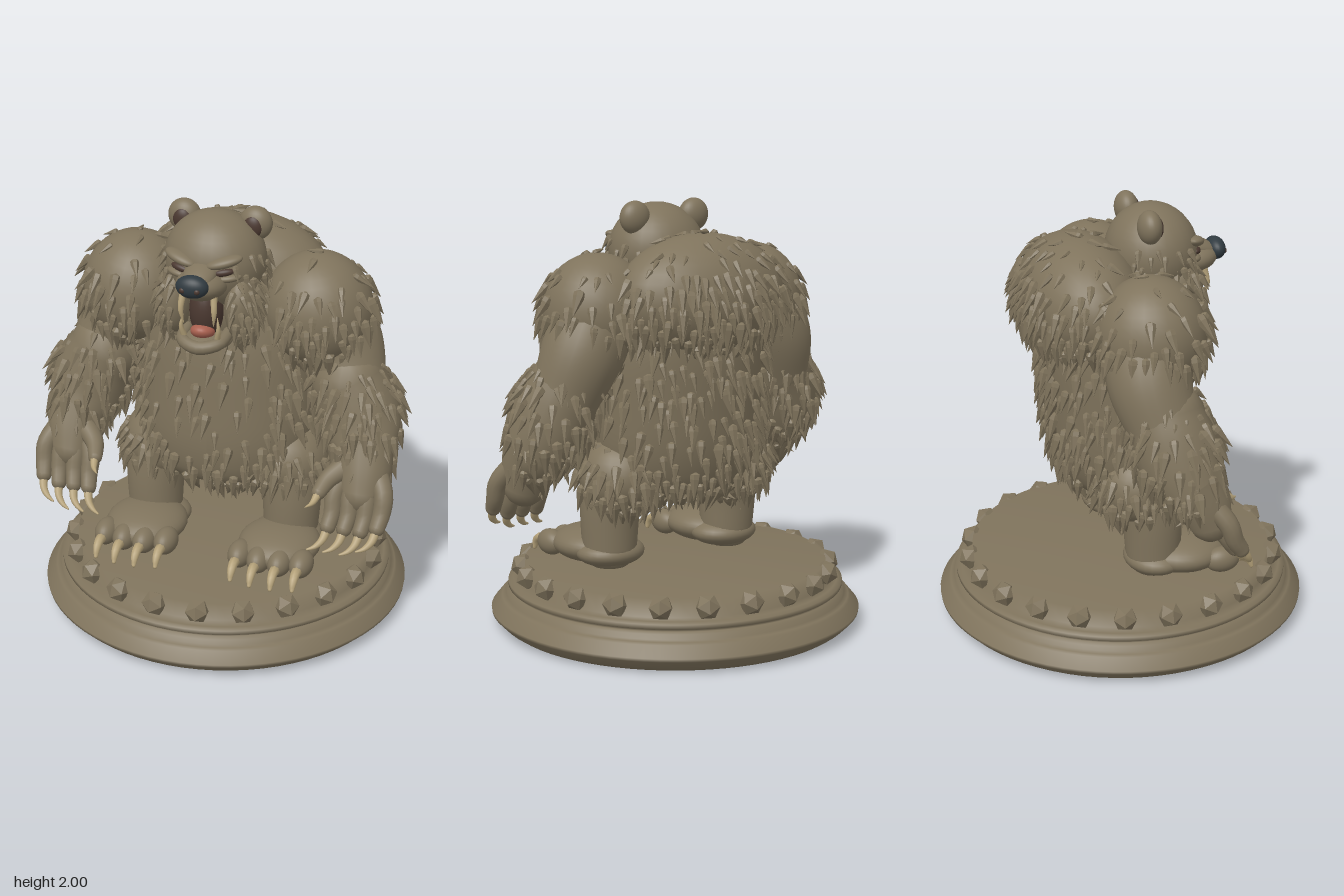
import * as THREE from 'three';
import { mergeGeometries } from 'three/addons/utils/BufferGeometryUtils.js';

const V = (x, y, z) => new THREE.Vector3(x, y, z);
const paint = (color, flatShading = false) => new THREE.MeshStandardMaterial({ color, flatShading });

export function createModel() {
  const model = new THREE.Group();
  const hide = paint(0x7f735c), stone = paint(0x7f735c), facet = paint(0x7f735c, true);
  const horn = paint(0xb5a27a), dark = paint(0x4a3830), pink = paint(0xa8604f), black = paint(0x303a40);

  let seed = 7;
  const rand = () => (seed = (seed * 16807) % 2147483647) / 2147483647;

  const add = (name, geometry, material) => {
    const mesh = new THREE.Mesh(geometry, material);
    mesh.name = name;
    model.add(mesh);
    return mesh;
  };

  // ellipsoid with its transform baked in
  const blob = (name, material, pos, radii, rot = [0, 0, 0]) => {
    const g = new THREE.SphereGeometry(1, 28, 20).scale(...radii);
    g.applyMatrix4(new THREE.Matrix4().makeRotationFromEuler(new THREE.Euler(...rot)));
    return add(name, g.translate(...pos), material);
  };

  // tapered tube through [x, y, z, radius] points with round ends
  const limb = (name, material, pts, s = 1, sides = 16, rows = 16) => {
    const curve = new THREE.CatmullRomCurve3(pts.map(p => V(p[0] * s, p[1], p[2])));
    const g = new THREE.TubeGeometry(curve, rows, 1, sides);
    const pos = g.attributes.position, v = V(0, 0, 0);
    for (let i = 0; i < pos.count; i++) {
      const t = Math.floor(i / (sides + 1)) / rows, c = curve.getPointAt(t);
      const k = Math.min(t * (pts.length - 1), pts.length - 1.0001), j = Math.floor(k);
      const r = THREE.MathUtils.lerp(pts[j][3], pts[j + 1][3], k - j);
      v.fromBufferAttribute(pos, i).sub(c).multiplyScalar(r).add(c);
      pos.setXYZ(i, v.x, v.y, v.z);
    }
    const caps = [pts[0], pts[pts.length - 1]].map(p =>
      new THREE.SphereGeometry(p[3], sides, 8).translate(p[0] * s, p[1], p[2]));
    return add(name, mergeGeometries([g, ...caps]), material);
  };

  // pointed tufts scattered evenly over a mesh, combed downwards
  const tuftShape = new THREE.LatheGeometry(
    [[0, -0.014], [0.023, 0], [0.023, 0.02], [0, 0.112]].map(p => new THREE.Vector2(...p)), 6);
  const fur = (name, mesh, count, gap, density, size = 1) => {
    const g = mesh.geometry.toNonIndexed(), pos = g.attributes.position, tris = [];
    let total = 0;
    for (let i = 0; i < pos.count; i += 3) {
      const t = new THREE.Triangle(...[0, 1, 2].map(k => V(0, 0, 0).fromBufferAttribute(pos, i + k)));
      if (t.getArea() < 1e-9) continue;
      const n = t.getNormal(V(0, 0, 0));
      total += t.getArea() * Math.max(0, density(t.getMidpoint(V(0, 0, 0)), n));
      tris.push({ t, n, total });
    }
    const roots = [], tufts = [];
    for (let tries = 0; tries < count * 5 && roots.length < count; tries++) {
      const pick = rand() * total, { t, n } = tris.find(e => e.total >= pick);
      let a = rand(), b = rand();
      if (a + b > 1) { a = 1 - a; b = 1 - b; }
      const p = t.a.clone().addScaledVector(t.b.clone().sub(t.a), a).addScaledVector(t.c.clone().sub(t.a), b);
      if (roots.some(q => q.distanceTo(p) < gap)) continue;
      roots.push(p);
      const dir = V((rand() - 0.5) * 0.4, -1, (rand() - 0.5) * 0.4);
      dir.addScaledVector(n, -dir.dot(n)).normalize();
      dir.addScaledVector(n, 0.45 * (1 - Math.max(0, n.y) * 0.8)).normalize();
      const q = new THREE.Quaternion().setFromUnitVectors(V(0, 1, 0), dir);
      const k = size * (0.75 + rand() * 0.4) * (n.y > 0.55 ? 0.75 : 1);
      tufts.push(tuftShape.clone().applyMatrix4(new THREE.Matrix4().compose(p, q, V(k, k, k))));
    }
    add(name, mergeGeometries(tufts), facet);
  };

  // round moulded pedestal
  const profile = [[0, 0], [0.81, 0], [0.84, 0.02], [0.88, 0.06], [0.882, 0.075], [0.84, 0.125], [0.83, 0.135],
    [0.81, 0.14], [0.81, 0.165], [0.785, 0.17], [0.785, 0.18], [0.8, 0.185], [0.8, 0.205], [0.775, 0.212],
    [0.725, 0.214], [0.72, 0.3], [0, 0.3]];
  add('pedestal', new THREE.LatheGeometry(profile.map(p => new THREE.Vector2(...p)), 72), stone);
  for (let i = 0; i < 22; i++) {
    const a = (i + 0.5) / 22 * Math.PI * 2;
    const stud = add('pedestalStud', new THREE.IcosahedronGeometry(0.06, 0).rotateX(-0.23), facet);
    stud.position.set(Math.sin(a) * 0.73, 0.262, Math.cos(a) * 0.73);
    stud.rotation.y = a;
  }

  // barrel torso, leaning back as it rises, and the hump of the upper back
  const outline = new THREE.SplineCurve([[0.001, 0.62], [0.3, 0.65], [0.41, 0.82], [0.43, 1.1], [0.42, 1.4],
    [0.32, 1.65], [0.001, 1.74]].map(p => new THREE.Vector2(...p)));
  const torsoShape = new THREE.LatheGeometry(outline.getPoints(28), 40).scale(1, 1, 0.74);
  const tp = torsoShape.attributes.position;
  for (let i = 0; i < tp.count; i++) tp.setZ(i, tp.getZ(i) - 0.07 * (tp.getY(i) - 0.5));
  torsoShape.computeVertexNormals();
  const torso = add('torso', torsoShape, hide);
  fur('torsoFur', torso, 430, 0.04, (p, n) => p.y > 1.5 ? 0.1
    : n.z > 0.5 && Math.abs(p.x) < 0.24 && p.y > 0.85 ? 0.35 : p.y < 0.95 ? 1.6 : 1);
  const hump = blob('upperBack', hide, [0, 1.575, -0.2], [0.44, 0.29, 0.275]);
  fur('upperBackFur', hump, 230, 0.04, (p, n) => n.z > 0.3 ? 0 : n.y > 0.4 ? 0.12 : n.y > 0 ? 0.6 : 1.4);

  // head: cranium, neck ruff, muzzle and open jaw
  const neck = blob('neck', hide, [0, 1.56, 0.08], [0.26, 0.27, 0.2]);
  fur('neckFur', neck, 100, 0.04, (p, n) => n.z > 0 && (Math.abs(p.x) > 0.12 || p.y < 1.4) ? 1 : 0, 0.9);
  const cranium = blob('cranium', hide, [0, 1.76, 0.15], [0.235, 0.225, 0.215]);
  fur('craniumFur', cranium, 40, 0.04, (p, n) => Math.abs(n.x) > 0.6 && n.y < 0.3 ? 1 : 0, 0.7);
  blob('muzzle', hide, [0, 1.705, 0.34], [0.115, 0.07, 0.13], [-0.12, 0, 0]);
  blob('noseBridge', hide, [0, 1.76, 0.36], [0.075, 0.045, 0.12], [0.35, 0, 0]);
  blob('nose', black, [0, 1.74, 0.465], [0.075, 0.052, 0.045]);
  for (const s of [-1, 1]) blob('nostril', dark, [s * 0.033, 1.732, 0.5], [0.014, 0.013, 0.01]);
  blob('mouth', dark, [0, 1.56, 0.27], [0.078, 0.14, 0.09]);
  blob('lowerJaw', hide, [0, 1.42, 0.28], [0.12, 0.045, 0.13], [-0.1, 0, 0]);
  limb('lowerLip', hide, [[-0.1, 1.455, 0.25, 0.026], [-0.085, 1.435, 0.36, 0.028], [0, 1.42, 0.395, 0.032],
    [0.085, 1.435, 0.36, 0.028], [0.1, 1.455, 0.25, 0.026]]);
  blob('tongue', pink, [0, 1.475, 0.33], [0.055, 0.035, 0.06], [-0.35, 0, 0]);

  for (const s of [-1, 1]) {
    const leftRight = (name, material, pos, radii, rot = [0, 0, 0]) =>
      blob(name, material, [s * pos[0], pos[1], pos[2]], radii, [rot[0], s * rot[1], s * rot[2]]);

    // face details
    leftRight('ear', hide, [0.168, 1.922, 0.085], [0.077, 0.078, 0.055]);
    leftRight('innerEar', dark, [0.166, 1.916, 0.12], [0.046, 0.052, 0.028]);
    leftRight('brow', hide, [0.1, 1.815, 0.325], [0.085, 0.026, 0.045], [0, 0.35, 0.25]);
    leftRight('eye', dark, [0.1, 1.77, 0.333], [0.048, 0.018, 0.022], [0, 0.3, 0.15]);
    leftRight('underEye', hide, [0.115, 1.74, 0.315], [0.06, 0.02, 0.035], [0, 0.35, 0.1]);
    const cheek = leftRight('cheek', hide, [0.155, 1.58, 0.24], [0.075, 0.16, 0.11]);
    fur('cheekFur', cheek, 50, 0.034, (p, n) => n.x * s > -0.2 && n.z > -0.4 ? 1 : 0, 0.8);
    limb('upperFang', horn, [[0.072, 1.67, 0.385, 0.017], [0.078, 1.6, 0.4, 0.013], [0.07, 1.53, 0.385, 0.002]], s, 8, 8);
    limb('lowerFang', horn, [[0.078, 1.45, 0.355, 0.015], [0.088, 1.51, 0.37, 0.011], [0.08, 1.56, 0.36, 0.002]], s, 8, 8);

    // arm
    const shoulder = leftRight('shoulder', hide, [0.44, 1.52, 0], [0.255, 0.265, 0.25], [0, 0, 0.15]);
    fur('shoulderFur', shoulder, 105, 0.045, (p, n) =>
      n.x * s < -0.5 ? 0 : n.y > 0.6 ? 0.12 : n.y > 0.2 ? 0.45 : 1.3);
    limb('upperArm', hide, [[0.46, 1.5, -0.02, 0.21], [0.55, 1.33, -0.04, 0.19], [0.61, 1.15, 0, 0.16]], s, 24);
    const forearm = limb('forearm', hide, [[0.6, 1.18, 0.02, 0.175], [0.64, 1.1, 0.035, 0.195], [0.68, 0.98, 0.06, 0.18],
      [0.71, 0.87, 0.1, 0.13]], s, 24);
    fur('forearmFur', forearm, 180, 0.038, (p, n) => n.y > 0.6 || p.y > 1.28 ? 0.05 : 1);

    // hand with four fingers, a thumb and claws
    limb('palm', hide, [[0.71, 0.92, 0.1, 0.13], [0.72, 0.8, 0.155, 0.13], [0.72, 0.71, 0.19, 0.1]], s, 20);
    for (let i = 0; i < 4; i++) {
      const x = 0.835 - i * 0.077, dip = i === 0 ? 0.03 : 0;
      limb('finger', hide, [[x * 0.6 + 0.285, 0.82, 0.17, 0.05], [x, 0.7 + dip, 0.235, 0.047],
        [x, 0.62 + dip, 0.265, 0.043], [x - 0.01, 0.565 + dip, 0.3, 0.037]], s, 12, 10);
      limb('fingerClaw', horn, [[x - 0.01, 0.56 + dip, 0.305, 0.023], [x - 0.025, 0.51 + dip, 0.34, 0.02],
        [x - 0.055, 0.48 + dip, 0.36, 0.014], [x - 0.085, 0.47 + dip, 0.375, 0.005]], s, 8, 8);
    }
    limb('thumb', hide, [[0.64, 0.83, 0.19, 0.055], [0.575, 0.78, 0.25, 0.045], [0.55, 0.74, 0.31, 0.034]], s, 12, 10);
    limb('thumbClaw', horn, [[0.55, 0.74, 0.32, 0.022], [0.535, 0.71, 0.365, 0.015], [0.51, 0.7, 0.395, 0.002]], s, 8, 8);

    // leg
    const thigh = leftRight('thigh', hide, [0.31, 0.74, -0.005], [0.2, 0.19, 0.2]);
    fur('thighFur', thigh, 85, 0.042, (p, n) => n.x * s < -0.5 || n.y > 0.5 ? 0 : 1);
    limb('shin', hide, [[0.335, 0.7, 0.03, 0.155], [0.345, 0.55, 0.045, 0.14], [0.345, 0.4, 0.05, 0.13]], s, 24);

    // foot with four toes and claws
    leftRight('heel', hide, [0.335, 0.365, 0.06], [0.17, 0.07, 0.145]);
    leftRight('foot', hide, [0.335, 0.38, 0.2], [0.195, 0.088, 0.21]);
    for (let i = 0; i < 4; i++) {
      const x = 0.185 + i * 0.1, z = i % 3 ? 0.02 : 0;
      leftRight('toe', hide, [x, 0.37, 0.345 + z], [0.056, 0.062, 0.085]);
      limb('toeClaw', horn, [[x, 0.365, 0.4 + z, 0.025], [x, 0.37, 0.445 + z, 0.024], [x, 0.345, 0.48 + z, 0.02],
        [x, 0.31, 0.495 + z, 0.01]], s, 8, 8);
    }
  }
  return model;
}
